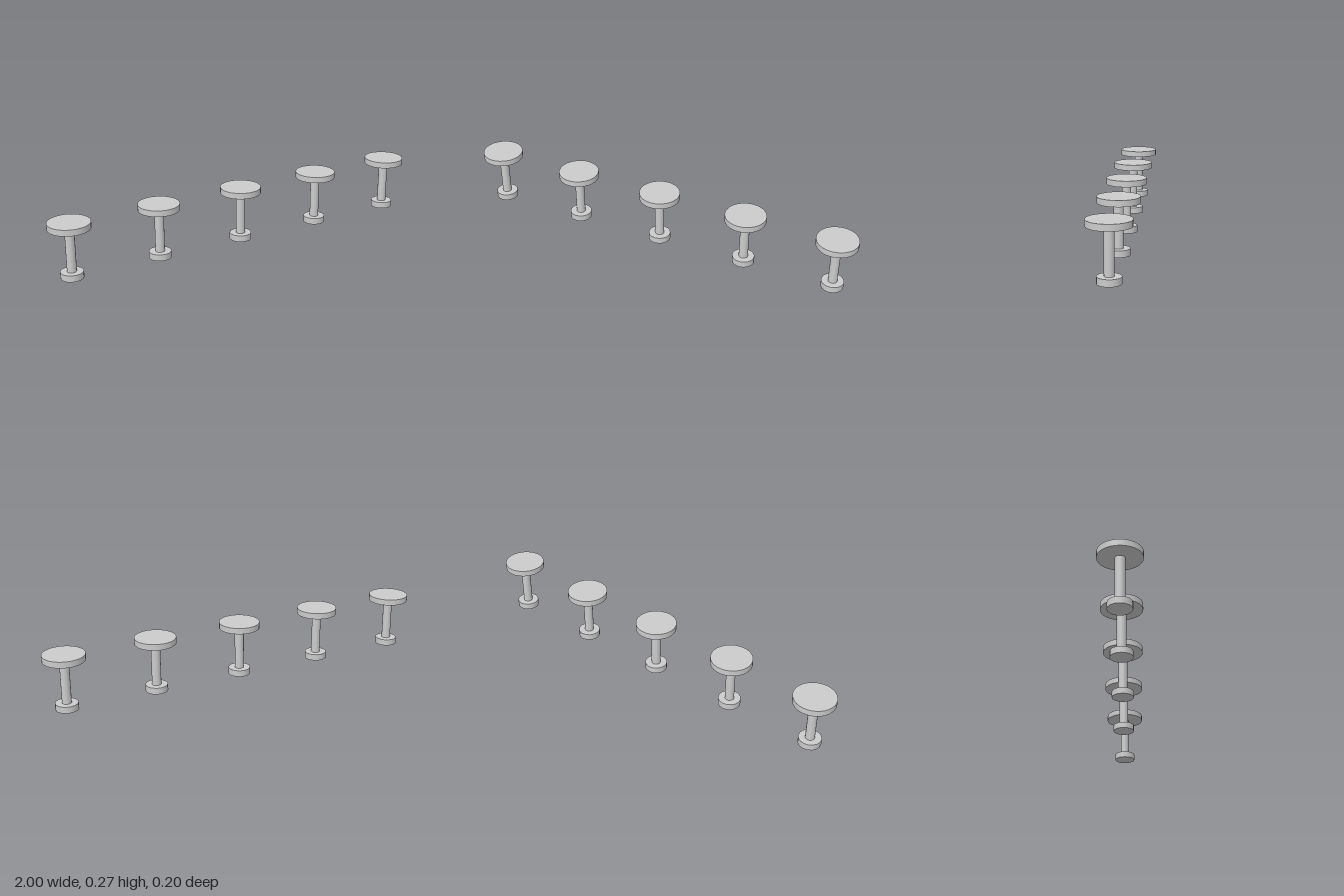
import * as THREE from 'three';

const material = new THREE.MeshStandardMaterial({ color: 0xcccccc });

// Upright disc or post between two heights
function addCylinder(parent, name, radius, bottom, top, sides) {
  const mesh = new THREE.Mesh(new THREE.CylinderGeometry(radius, radius, top - bottom, sides), material);
  mesh.name = name;
  mesh.position.y = (bottom + top) / 2;
  parent.add(mesh);
}

function createStool() {
  const stool = new THREE.Group();
  addCylinder(stool, 'base', 0.0545, 0, 0.032, 16);
  addCylinder(stool, 'post', 0.0225, 0.032, 0.243, 16);
  addCylinder(stool, 'seat', 0.1, 0.243, 0.273, 32);
  return stool;
}

export function createModel() {
  const model = new THREE.Group();
  model.name = 'stoolRow';
  // Five evenly spaced stools
  for (let i = 0; i < 5; i++) {
    const stool = createStool();
    stool.name = `stool${i + 1}`;
    stool.position.x = (i - 2) * 0.45;
    model.add(stool);
  }
  return model;
}
